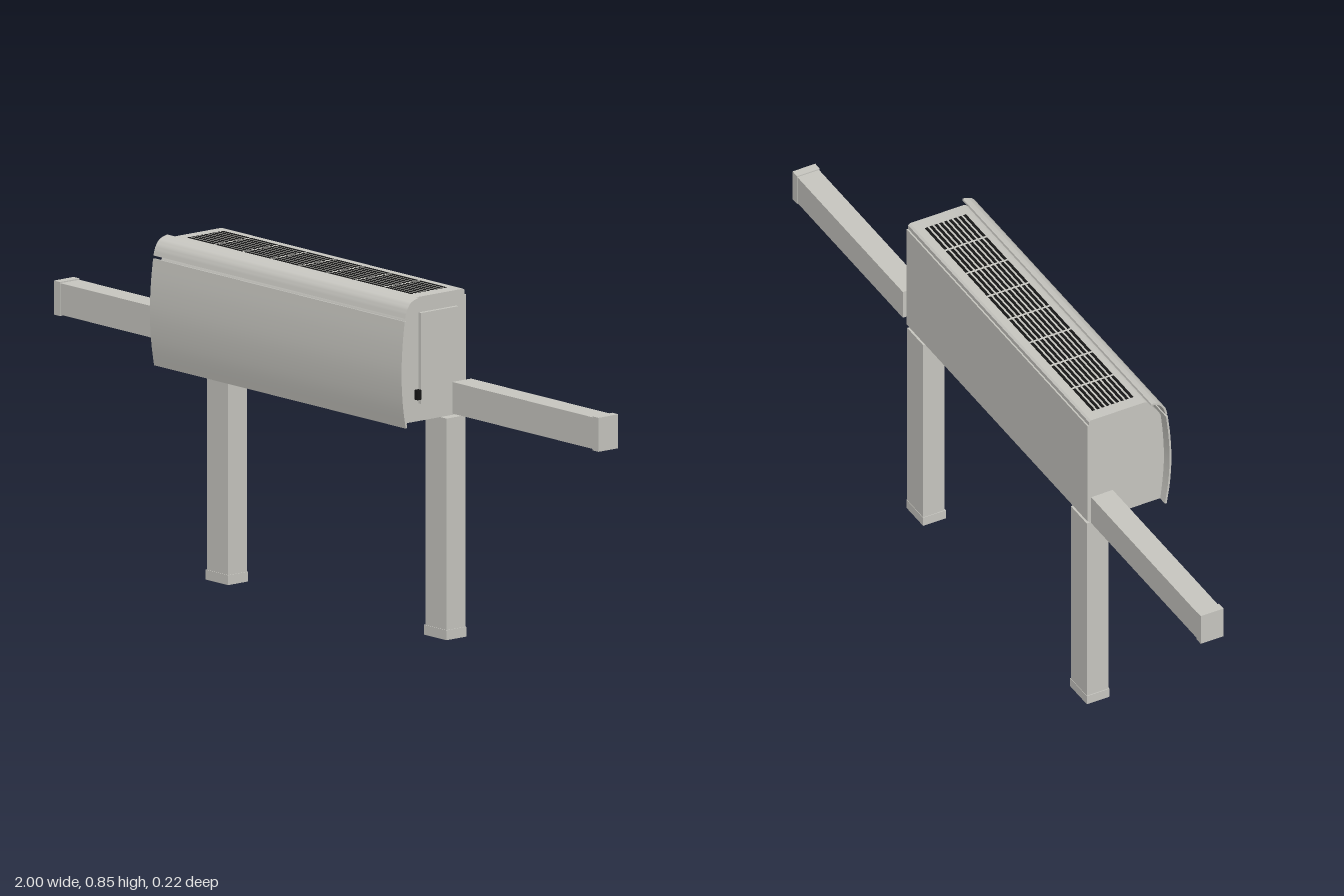
import * as THREE from 'three';
import { toCreasedNormals } from 'three/addons/utils/BufferGeometryUtils.js';

export function createModel() {
  const group = new THREE.Group();
  const casing = new THREE.MeshStandardMaterial({ color: 0xc8c7c1 });
  casing.name = 'warm grey casing';
  const black = new THREE.MeshStandardMaterial({ color: 0x161616 });
  black.name = 'black openings';

  const add = (name, geometry, material = casing, parent = group) => {
    const mesh = new THREE.Mesh(geometry, material);
    mesh.name = name;
    parent.add(mesh);
    return mesh;
  };

  // Box given by its minimum and maximum corners
  const box = (name, a, b, material, parent) => {
    const g = new THREE.BoxGeometry(b[0] - a[0], b[1] - a[1], b[2] - a[2]);
    g.translate((a[0] + b[0]) / 2, (a[1] + b[1]) / 2, (a[2] + b[2]) / 2);
    return add(name, g, material, parent);
  };

  // Side profile of (z, y) points swept from x0 to x1
  const sweep = (name, points, x0, x1) => {
    const g = new THREE.ExtrudeGeometry(new THREE.Shape(points), { depth: x1 - x0, bevelEnabled: false });
    g.rotateY(-Math.PI / 2);
    g.translate(x1, 0, 0);
    return add(name, toCreasedNormals(g, 0.45));
  };
  const v = (z, y) => new THREE.Vector2(z, y);

  // Thin curved sheet following a spline of outer points
  const sheet = (name, outer, thickness) => {
    const curve = new THREE.SplineCurve(outer);
    const front = [], back = [];
    for (let i = 0; i <= 16; i++) {
      const p = curve.getPoint(i / 16), t = curve.getTangent(i / 16);
      front.push(p);
      back.unshift(v(p.x - t.y * thickness, p.y + t.x * thickness));
    }
    return sweep(name, [...front, ...back], -0.463, 0.461);
  };

  // Main body with a softly bowed front
  const bow = new THREE.SplineCurve([v(0.089, 0.547), v(0.096, 0.61), v(0.099, 0.67), v(0.096, 0.74), v(0.09, 0.797)]);
  sweep('body', [
    v(-0.105, 0.547), ...bow.getPoints(12), v(0.083, 0.81), v(0.054, 0.847),
    v(0.046, 0.85), v(-0.1, 0.85), v(-0.105, 0.846),
  ], -0.446, 0.441);
  box('backPlate', [-0.446, 0.55, -0.109], [0.441, 0.835, -0.104]);

  // Front cover: large lower sheet and rolled upper strip with a gap between
  sheet('frontPanel', [v(0.097, 0.54), v(0.106, 0.6), v(0.11, 0.67), v(0.107, 0.74), v(0.1, 0.801)], 0.005);
  sheet('upperStrip', [v(0.099, 0.808), v(0.093, 0.828), v(0.082, 0.843), v(0.069, 0.85), v(0.055, 0.853)], 0.005);

  // Top grille: eight columns of narrow slots
  const grille = new THREE.Group();
  grille.name = 'topGrille';
  group.add(grille);
  const columns = 8, rows = 9, pitch = 0.1035;
  for (let c = 0; c < columns; c++) {
    const x = -0.415 + c * pitch;
    for (let r = 0; r < rows; r++) {
      const z = -0.079 + r * 0.0131;
      box('grilleSlot', [x, 0.849, z], [x + pitch - 0.007, 0.8508, z + 0.0075], black, grille);
    }
  }

  // Service cover and connector on the left end
  box('sideCover', [0.44, 0.59, -0.078], [0.45, 0.812, 0.039]);
  box('sideConnector', [0.44, 0.601, 0.04], [0.452, 0.625, 0.052], black);

  // Underside outlet flap and lip
  box('outletFlap', [-0.4, 0.544, -0.035], [0.4, 0.548, 0.058]);
  box('outletLip', [-0.44, 0.543, 0.071], [0.436, 0.549, 0.089]);

  // Side rails and legs, each finished with a slightly larger end cap
  for (const s of [-1, 1]) {
    const span = (name, x0, x1, y0, y1, z0, z1) =>
      box(name, [Math.min(s * x0, s * x1), y0, z0], [Math.max(s * x0, s * x1), y1, z1]);
    span('sideRail', 0.461, 0.982, 0.556, 0.633, -0.108, -0.049);
    span('railCap', 0.978, 1, 0.553, 0.636, -0.109, -0.047);
    span('leg', 0.362, 0.44, 0.022, 0.54, -0.108, -0.049);
    span('legCap', 0.36, 0.442, 0, 0.024, -0.109, -0.047);
  }

  return group;
}
